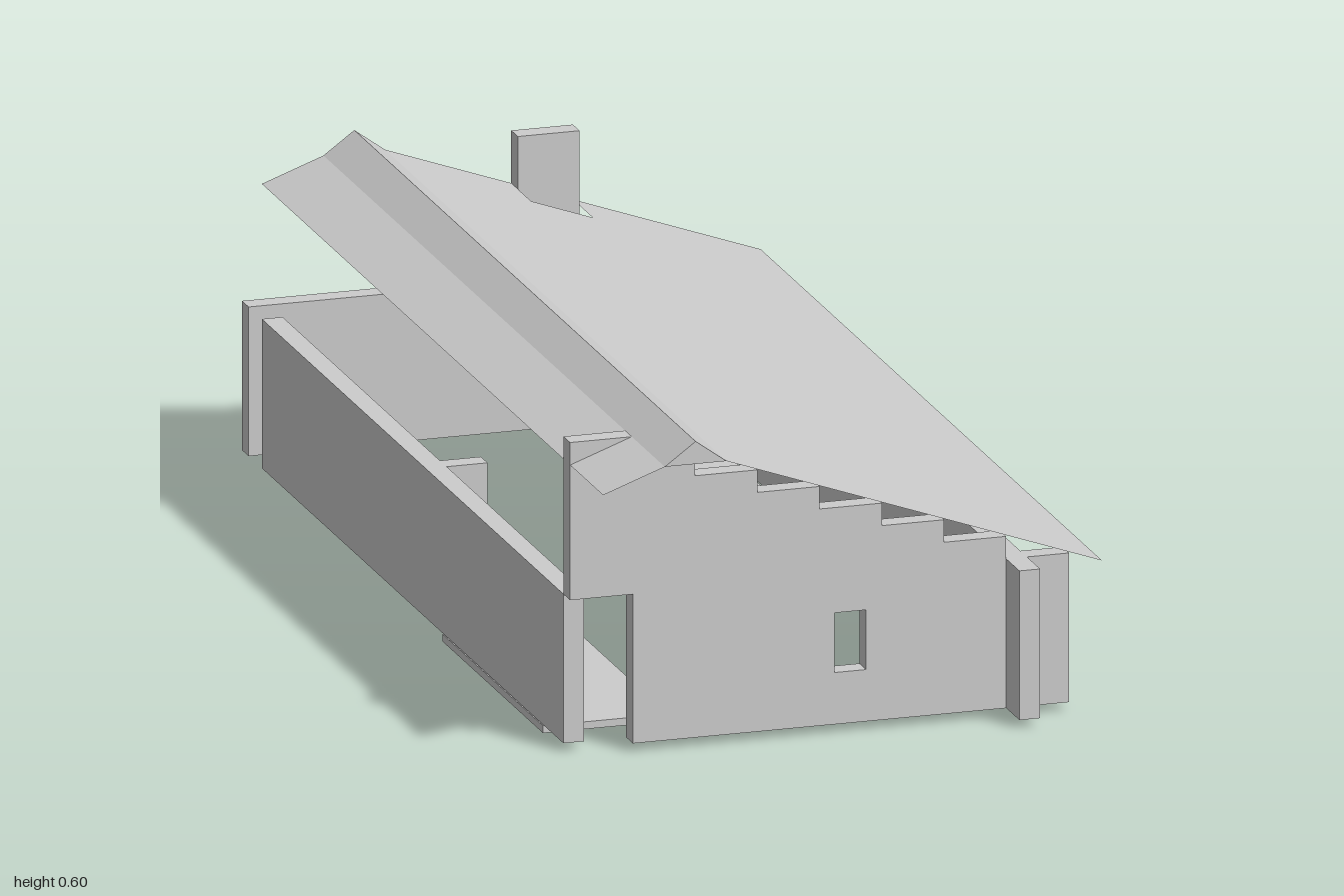
import * as THREE from 'three';

const grey = new THREE.MeshStandardMaterial({ color: 0xcccccc, flatShading: true });
const thin = new THREE.MeshStandardMaterial({ color: 0xcccccc, flatShading: true, side: THREE.DoubleSide });

const T = 0.037; // wall thickness

function add(group, name, geometry, material = grey) {
  const mesh = new THREE.Mesh(geometry, material);
  mesh.name = name;
  group.add(mesh);
  return mesh;
}

// Box given by its limits on each axis
function block(group, name, [x0, x1], [y0, y1], [z0, z1]) {
  const g = new THREE.BoxGeometry(x1 - x0, y1 - y0, z1 - z0);
  add(group, name, g).position.set((x0 + x1) / 2, (y0 + y1) / 2, (z0 + z1) / 2);
}

const toShape = (pts) => new THREE.Shape(pts.map(([x, y]) => new THREE.Vector2(x, y)));

function rectHole(shape, x0, x1, y0, y1) {
  shape.holes.push(new THREE.Path([[x0, y0], [x0, y1], [x1, y1], [x1, y0]].map((p) => new THREE.Vector2(...p))));
}

const extrude = (shape) => new THREE.ExtrudeGeometry(shape, { depth: T, bevelEnabled: false });

// Sloping quad between two profile points, running from z0 to z1
function slope([xa, ya], [xb, yb], z0, z1) {
  const g = new THREE.PlaneGeometry(1, 1);
  const p = g.attributes.position;
  for (let i = 0; i < p.count; i++) {
    const t = p.getX(i) + 0.5;
    p.setXYZ(i, xa + (xb - xa) * t, ya + (yb - ya) * t, p.getY(i) > 0 ? z0 : z1);
  }
  g.computeVertexNormals();
  return g;
}

export function createModel() {
  const model = new THREE.Group();
  model.name = 'house';

  // Front wall: top steps down to the left side, doorway cut at the right corner
  const outline = [[-0.333, 0.015], [0.445, 0.015], [0.445, 0.28]];
  for (let i = 0; i < 7; i++) {
    const x = 0.333 - i * 0.111;
    outline.push([x, 0.28 + i * 0.04], [x, 0.32 + i * 0.04]);
  }
  outline.push([-0.445, 0.56], [-0.445, 0.28], [-0.333, 0.28]);
  const front = toShape(outline);
  rectHole(front, 0.027, 0.083, 0.107, 0.213);
  add(model, 'frontWall', extrude(front)).position.z = 0.78;

  // Left wall with two windows, crossing the front wall at the corner
  const side = toShape([[-0.89, 0.015], [0.89, 0.015], [0.89, 0.28], [-0.89, 0.28]]);
  for (const s of [-1, 1]) rectHole(side, s * 0.39 - 0.028, s * 0.39 + 0.028, 0.107, 0.213);
  const left = add(model, 'leftWall', extrude(side));
  left.rotation.y = Math.PI / 2;
  left.position.x = 0.333;

  // Plain walls, inner stub and chimney
  block(model, 'rightWall', [-0.445, -0.408], [0.015, 0.28], [-0.89, 0.78]);
  block(model, 'innerStubWall', [-0.408, -0.335], [0.015, 0.28], [-T / 2, T / 2]);
  block(model, 'backWall', [-0.445, 0.445], [0.015, 0.28], [-1, -0.963]);
  block(model, 'chimney', [0, 0.11], [0.37, 0.573], [-0.89, -0.853]);

  // Floor slabs
  const slabs = [
    [[0.222, 0.333], [-0.78, -0.222]],
    [[-0.333, -0.222], [-0.78, -0.222]],
    [[-0.111, 0.111], [0.222, 0.555]],
    [[-0.445, -0.222], [0.111, 0.667]],
  ];
  slabs.forEach(([x, z]) => block(model, 'floorSlab', x, [0, 0.013], z));

  // Thin roof with a steeper ridge and a notch at the chimney
  const roof = new THREE.Group();
  roof.name = 'roof';
  model.add(roof);
  const ridge = [[-0.335, 0.56], [-0.28, 0.6], [-0.225, 0.56]];
  const onRoof = (x) => [x, 0.56 - (x + 0.225) * (0.24 / 0.67)];
  const profile = [[-0.445, 0.52], ...ridge, onRoof(0), onRoof(0.11), onRoof(0.445)];
  for (let i = 0; i < profile.length - 1; i++) {
    const back = i === 4 ? -0.78 : -0.89;
    add(roof, 'roofPanel', slope(profile[i], profile[i + 1], back, 1), thin);
  }
  for (const z of [-0.89, 1]) {
    add(roof, 'ridgeEnd', new THREE.ShapeGeometry(toShape(ridge)), thin).position.z = z;
  }
  return model;
}
